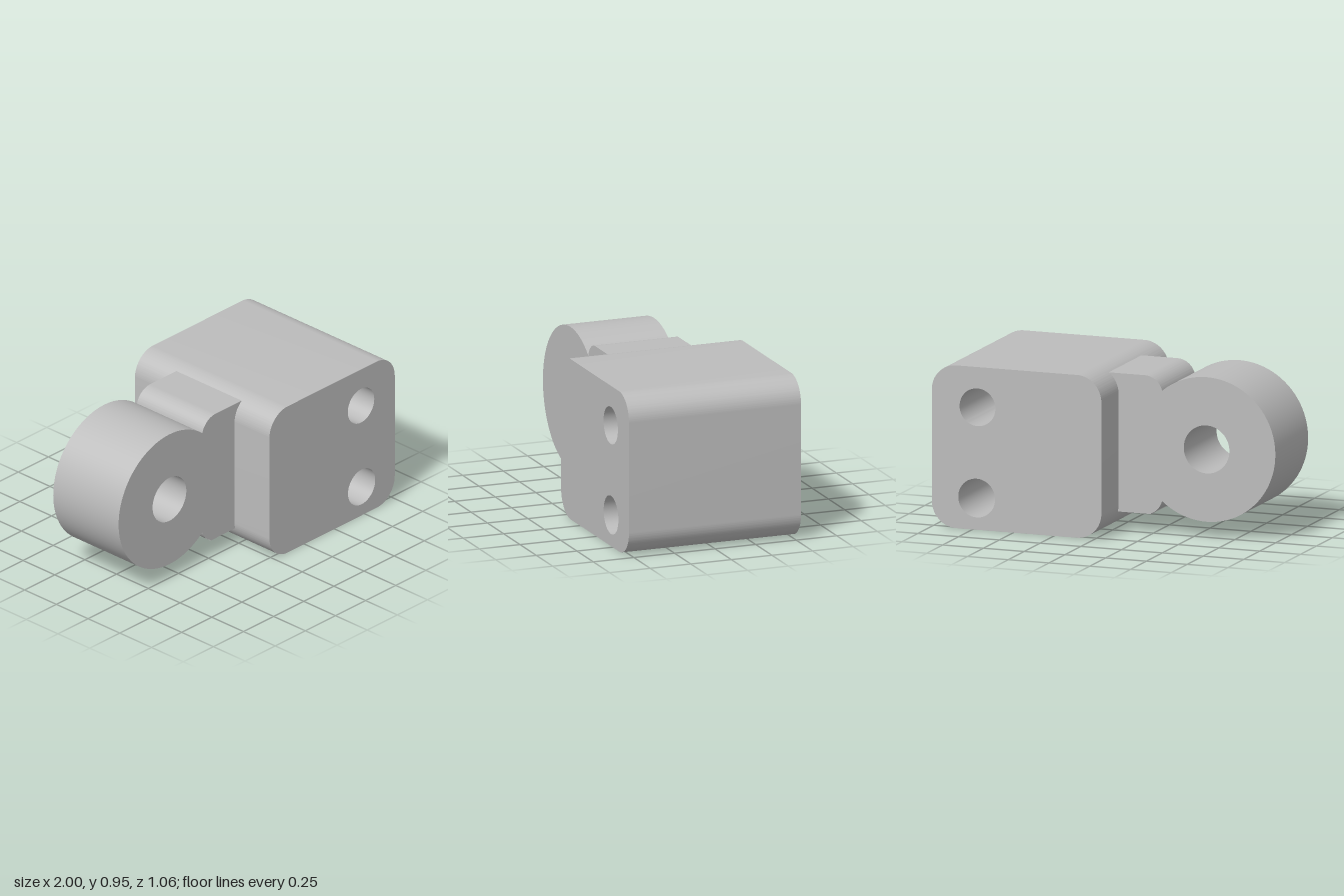
import * as THREE from 'three';
import { toCreasedNormals } from 'three/addons/utils/BufferGeometryUtils.js';

const HALF_PI = Math.PI / 2;

// Extrude a shape with smooth curves and sharp edges
function extrude(shape, depth) {
  const geo = new THREE.ExtrudeGeometry(shape, { depth, bevelEnabled: false, curveSegments: 32 });
  return toCreasedNormals(geo, 0.5);
}

function addHole(shape, x, y, r) {
  const hole = new THREE.Path();
  hole.absarc(x, y, r, 0, Math.PI * 2, true);
  shape.holes.push(hole);
}

function roundedRect(x0, y0, x1, y1, r) {
  const s = new THREE.Shape();
  s.absarc(x1 - r, y0 + r, r, -HALF_PI, 0, false);
  s.absarc(x1 - r, y1 - r, r, 0, HALF_PI, false);
  s.absarc(x0 + r, y1 - r, r, HALF_PI, Math.PI, false);
  s.absarc(x0 + r, y0 + r, r, Math.PI, Math.PI * 1.5, false);
  s.closePath();
  return s;
}

export function createModel() {
  const model = new THREE.Group();
  model.name = 'clevisBlock';
  const metal = new THREE.MeshStandardMaterial({ color: 0xbcbcbc });
  metal.name = 'grey metal';

  const add = (name, geo) => {
    const mesh = new THREE.Mesh(geo, metal);
    mesh.name = name;
    model.add(mesh);
    return mesh;
  };

  // Rounded block with two through holes
  const block = roundedRect(-0.04, 0, 1, 0.95, 0.15);
  addHole(block, 0.72, 0.715, 0.11);
  addHole(block, 0.725, 0.185, 0.113);
  add('block', extrude(block, 1.06)).position.z = -0.53;

  // Eye and neck in one outline, with the bore
  const cx = -0.58, cy = 0.515, notch = 0.877;
  const eye = new THREE.Shape();
  eye.absarc(cx, cy, 0.422, notch, Math.PI * 2 - notch, false);
  eye.absarc(-0.2, 0.22, 0.11, Math.PI + 0.25, Math.PI + 1.2, false);
  eye.lineTo(-0.24, 0.27);
  eye.lineTo(0.1, 0.27);
  eye.lineTo(0.1, 0.92);
  eye.absarc(-0.2, 0.81, 0.11, HALF_PI, Math.PI - 0.25, false);
  eye.closePath();
  addHole(eye, cx, cy, 0.14);
  add('eyeAndNeck', extrude(eye, 0.515)).position.z = -0.26;

  // Underside of the neck, with a blind hole
  const base = new THREE.Shape();
  base.moveTo(-0.24, -0.255);
  base.lineTo(0.1, -0.255);
  base.lineTo(0.1, 0.26);
  base.lineTo(-0.24, 0.26);
  base.closePath();
  addHole(base, -0.16, 0, 0.07);
  const under = add('neckUnderside', extrude(base, 0.16));
  under.rotation.x = -HALF_PI;
  under.position.y = 0.112;

  return model;
}
